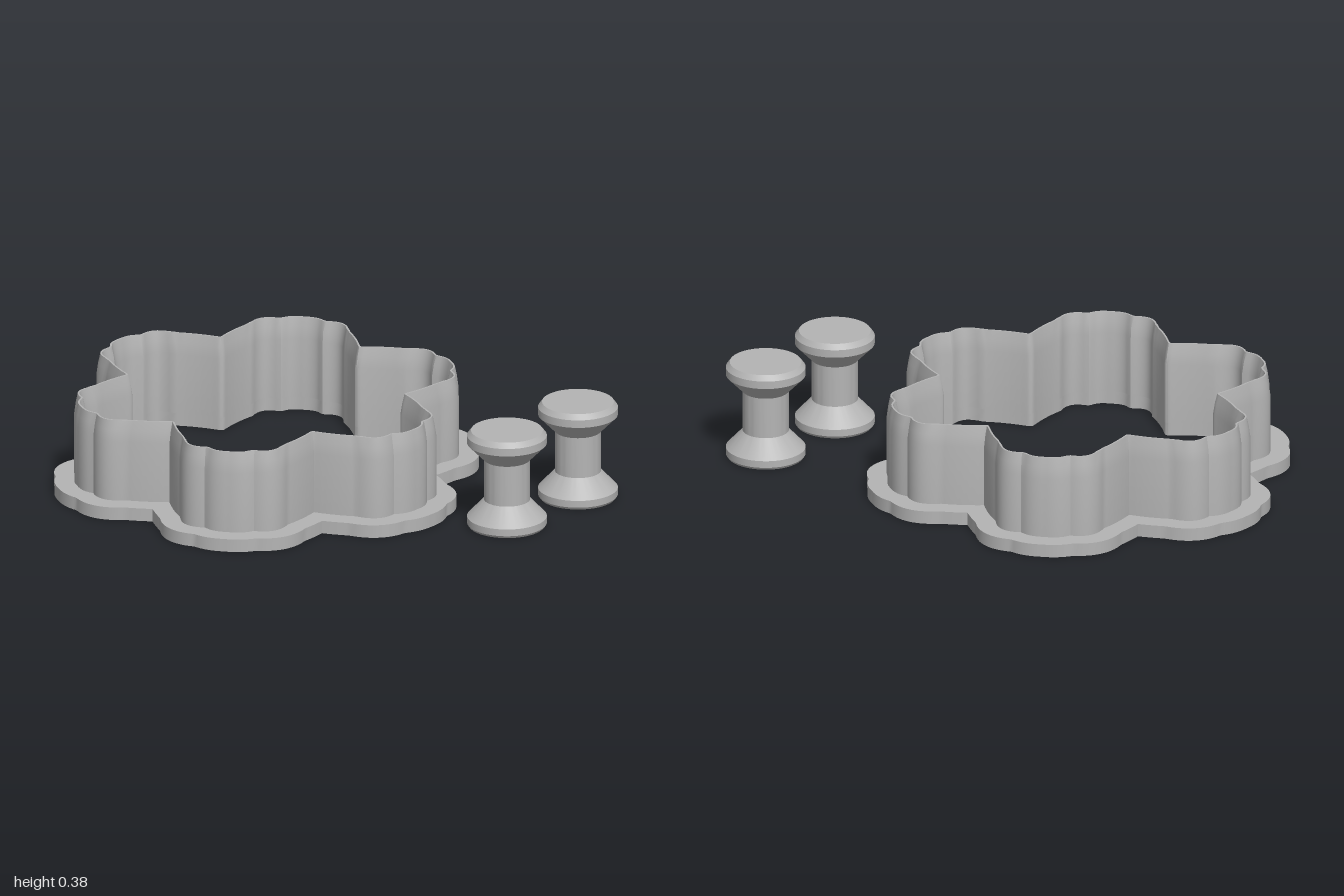
import * as THREE from 'three';
import { toCreasedNormals } from 'three/addons/utils/BufferGeometryUtils.js';

const PER_PETAL = 72, PETALS = 6, N = PER_PETAL * PETALS;
const CENTRE_Z = -0.175;

// Centre line of the scalloped flower: half a petal, mirrored, repeated six times
function flowerPath() {
  const v = (x, y) => new THREE.Vector2(x, y);
  const arcs = [
    [v(0, 0.733), v(0.06, 0.737), v(0.085, 0.7)],
    [v(0.085, 0.7), v(0.175, 0.717), v(0.19, 0.62)],
    [v(0.19, 0.62), v(0.237, 0.549), v(0.265, 0.459)],
  ];
  const half = arcs.flatMap(a => new THREE.QuadraticBezierCurve(...a).getPoints(24));
  const petal = [...half, ...half.map(p => v(-p.x, p.y))];
  const path = [];
  for (let k = 0; k < PETALS; k++) {
    for (const p of petal) path.push(p.clone().rotateAround(v(0, 0), k * Math.PI / 3));
  }
  return path;
}

// Offsets the path by d: radius per angle, on the outer (+1) or inner (-1) side
function offsetRadii(path, d, side) {
  return Array.from({ length: N }, (_, i) => {
    const a = Math.PI / 2 + i / N * Math.PI * 2, c = Math.cos(a), s = Math.sin(a);
    let best = side > 0 ? 0 : Infinity;
    for (const p of path) {
      const along = p.x * c + p.y * s, across = p.y * c - p.x * s;
      if (along < 0 || Math.abs(across) > d) continue;
      const r = along + side * Math.sqrt(d * d - across * across);
      best = side > 0 ? Math.max(best, r) : Math.min(best, r);
    }
    return best;
  });
}

// Skins a list of rings { radii, y }
function skinRings(rings, crease) {
  const pos = [], idx = [];
  for (const { radii, y } of rings) {
    radii.forEach((r, i) => {
      const a = Math.PI / 2 + i / N * Math.PI * 2;
      pos.push(r * Math.cos(a), y, -r * Math.sin(a));
    });
  }
  for (let j = 0; j < rings.length - 1; j++) {
    for (let i = 0; i < N; i++) {
      const a = j * N + i, b = j * N + (i + 1) % N;
      idx.push(a, b, b + N, a, b + N, a + N);
    }
  }
  const g = new THREE.BufferGeometry();
  g.setAttribute('position', new THREE.Float32BufferAttribute(pos, 3));
  g.setIndex(idx);
  return toCreasedNormals(g, crease);
}

export function createModel() {
  const model = new THREE.Group();
  model.name = 'cookieCutterSet';
  const grey = new THREE.MeshStandardMaterial({ color: 0xb4b4b4 });
  grey.name = 'grey plastic';

  const add = (parent, name, geometry) => {
    const mesh = new THREE.Mesh(geometry, grey);
    mesh.name = name;
    parent.add(mesh);
    return mesh;
  };

  // Flower cutter
  const cutter = new THREE.Group();
  cutter.name = 'flowerCutter';
  cutter.position.z = CENTRE_Z;
  model.add(cutter);

  const path = flowerPath();
  const outer = offsetRadii(path, 0.017, 1);
  const inner = offsetRadii(path, 0.017, -1);
  const rim = offsetRadii(path, 0.092, 1);
  const middle = outer.map((r, i) => (r + inner[i]) / 2);
  const mix = (radii, t) => radii.map((r, i) => middle[i] + (r - middle[i]) * t);

  // Flat flange around the foot
  add(cutter, 'flange', skinRings([
    { radii: inner, y: 0 }, { radii: rim, y: 0 }, { radii: rim, y: 0.05 },
    { radii: inner, y: 0.05 }, { radii: inner, y: 0 },
  ], 0.5));

  // Upright wall, thinning to a cutting edge
  const taper = [[0.05, 1], [0.285, 1], [0.33, 0.65], [0.367, 0.2]];
  add(cutter, 'cuttingWall', skinRings([
    ...taper.map(([y, t]) => ({ radii: mix(outer, t), y })),
    ...taper.slice().reverse().map(([y, t]) => ({ radii: mix(inner, t), y })),
  ], 0.5));

  // Two spool-shaped knobs
  const profile = [
    [0, 0], [0.143, 0], [0.15, 0.01], [0.15, 0.037], [0.087, 0.105],
    [0.087, 0.265], [0.15, 0.33], [0.15, 0.36], [0.135, 0.38], [0, 0.38],
  ].map(([r, y]) => new THREE.Vector2(r, y));
  const spool = toCreasedNormals(new THREE.LatheGeometry(profile, 64), 0.4);
  [['rightKnob', 0.2], ['leftKnob', 0.605]].forEach(([name, x]) => {
    add(model, name, spool).position.set(x, 0, 0.85);
  });

  return model;
}
